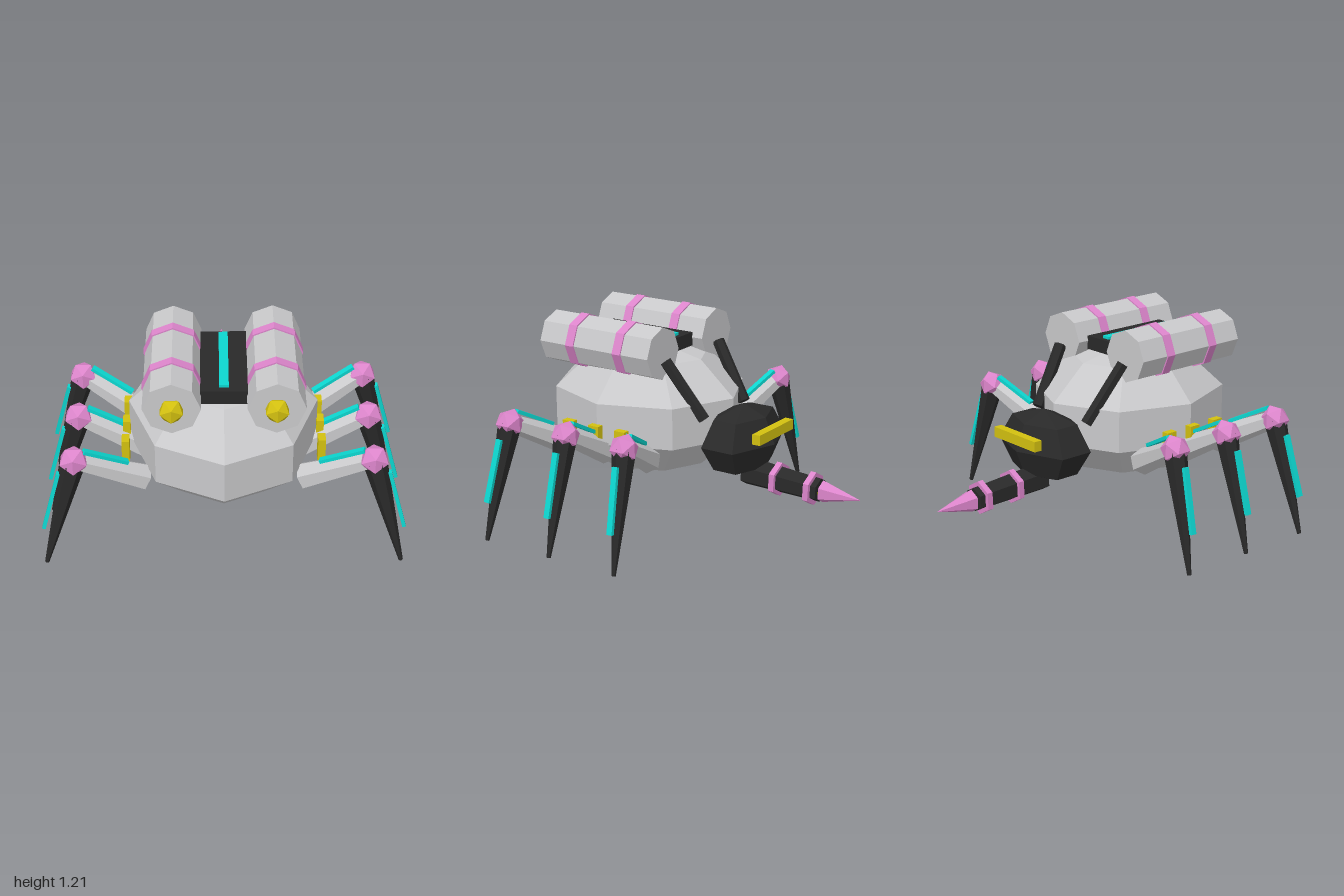
import * as THREE from 'three';

const mat = (name, color) => {
  const m = new THREE.MeshStandardMaterial({ color, flatShading: true });
  m.name = name;
  return m;
};
const V = (x, y, z) => new THREE.Vector3(x, y, z);
const UP = V(0, 1, 0);

export function createModel() {
  const grey = mat('shellGrey', 0xc8c8ca);
  const dark = mat('darkMetal', 0x292929);
  const pink = mat('pinkTrim', 0xdc85cb);
  const cyan = mat('cyanGlow', 0x0cd6cf);
  const yellow = mat('yellowLight', 0xd2c010);

  const model = new THREE.Group();
  model.name = 'roboticInsect';

  const add = (name, geo, material, pos, parent = model) => {
    const m = new THREE.Mesh(geo, material);
    m.name = name;
    m.position.copy(pos);
    parent.add(m);
    return m;
  };
  // Turn a mesh so its y runs along dir and its z leans towards hint
  const orient = (m, dir, hint) => {
    const y = dir.clone().normalize();
    const z = hint.clone().addScaledVector(y, -hint.dot(y)).normalize();
    const x = y.clone().cross(z);
    m.quaternion.setFromRotationMatrix(new THREE.Matrix4().makeBasis(x, y, z));
    return z;
  };
  // Tapered prism from a to b
  const rod = (name, a, b, ra, rb, sides, material, hint = UP, parent = model) => {
    const dir = b.clone().sub(a);
    const geo = new THREE.CylinderGeometry(rb, ra, dir.length(), sides);
    const m = add(name, geo, material, a.clone().lerp(b, 0.5), parent);
    orient(m, dir, hint);
    return m;
  };
  // Flat light strip from a to b, facing hint
  const strip = (name, a, b, hint, parent) => {
    const dir = b.clone().sub(a);
    const geo = new THREE.BoxGeometry(0.035, dir.length(), 0.02);
    orient(add(name, geo, cyan, a.clone().lerp(b, 0.5), parent), dir, hint);
  };

  // Body and head
  const body = add('body', new THREE.SphereGeometry(1, 8, 5), grey, V(0, 0.66, 0.413));
  body.scale.set(0.545, 0.39, 0.615);
  const headGeo = new THREE.SphereGeometry(1, 6, 4).rotateY(Math.PI / 2);
  const head = add('head', headGeo, dark, V(0, 0.555, -0.24));
  head.scale.set(0.325, 0.21, 0.208);
  add('visor', new THREE.BoxGeometry(0.36, 0.06, 0.05), yellow, V(0, 0.63, -0.435));

  // Spine plate with light
  add('spinePlate', new THREE.BoxGeometry(0.25, 0.08, 0.575), dark, V(0, 1.05, 0.483));
  add('spineLight', new THREE.BoxGeometry(0.05, 0.02, 0.51), cyan, V(0, 1.096, 0.48));

  // Needle snout
  const s0 = V(0, 0.367, -0.27), s1 = V(0, 0.343, -0.75);
  const along = (t) => s0.clone().lerp(s1, t);
  rod('snout', s0, s1, 0.085, 0.07, 6, dark);
  rod('snoutRing', along(0.4), along(0.47), 0.1, 0.1, 6, pink);
  rod('snoutRing', along(0.86), along(0.93), 0.098, 0.098, 6, pink);
  rod('needleCollar', along(0.99), along(1.05), 0.035, 0.035, 6, yellow);
  rod('needle', V(0, 0.341, -0.765), V(0, 0.335, -1), 0.065, 0.001, 6, pink);

  for (const s of [1, -1]) {
    const side = s > 0 ? 'left' : 'right';

    // Back tank with bands and front lamp
    const tank = new THREE.Group();
    tank.name = side + 'Tank';
    model.add(tank);
    const tx = s * 0.272, ty = 1.06;
    rod('tankShell', V(tx, ty, 0.125), V(tx, ty, 0.885), 0.153, 0.153, 8, grey, UP, tank);
    for (const z of [0.337, 0.67])
      rod('tankBand', V(tx, ty, z - 0.028), V(tx, ty, z + 0.028), 0.161, 0.161, 8, pink, UP, tank);
    add('tankLamp', new THREE.IcosahedronGeometry(0.07), yellow, V(tx, ty, 0.9), tank);

    // Neck strut
    rod(side + 'Strut', V(s * 0.27, 1.02, 0.11), V(s * 0.21, 0.7, -0.11), 0.036, 0.036, 6, dark);

    // Side vents
    for (const z of [0.23, 0.413, 0.595])
      add(side + 'Vent', new THREE.BoxGeometry(0.042, 0.145, 0.07), yellow, V(s * 0.535, 0.588, z));

    // Legs, splayed from front to back
    for (const k of [1, 0, -1]) {
      const leg = new THREE.Group();
      leg.name = side + { 1: 'Front', 0: 'Middle', '-1': 'Back' }[k] + 'Leg';
      model.add(leg);
      const hip = V(s * 0.43, 0.478, 0.413 + k * 0.29);
      const knee = V(s * 0.8, 0.675, 0.413 + k * 0.4);
      const foot = V(s * 0.98, 0.01, 0.413 + k * 0.45);
      rod('thigh', hip, knee, 0.077, 0.05, 6, grey, UP, leg);
      add('knee', new THREE.IcosahedronGeometry(0.084), pink, knee, leg);
      rod('shin', knee, foot, 0.068, 0.012, 6, dark, V(s, 0, 0), leg);

      const lift = V(-s * 0.035, 0.066, 0);
      strip('thighLight', hip.clone().lerp(knee, 0.33).add(lift),
        hip.clone().lerp(knee, 0.95).add(lift), UP, leg);
      const out = V(s * 0.062, 0.015, 0);
      strip('shinLight', knee.clone().lerp(foot, 0.14).add(out),
        knee.clone().lerp(foot, 0.67).add(out), V(s, 0, 0), leg);
    }
  }
  return model;
}
